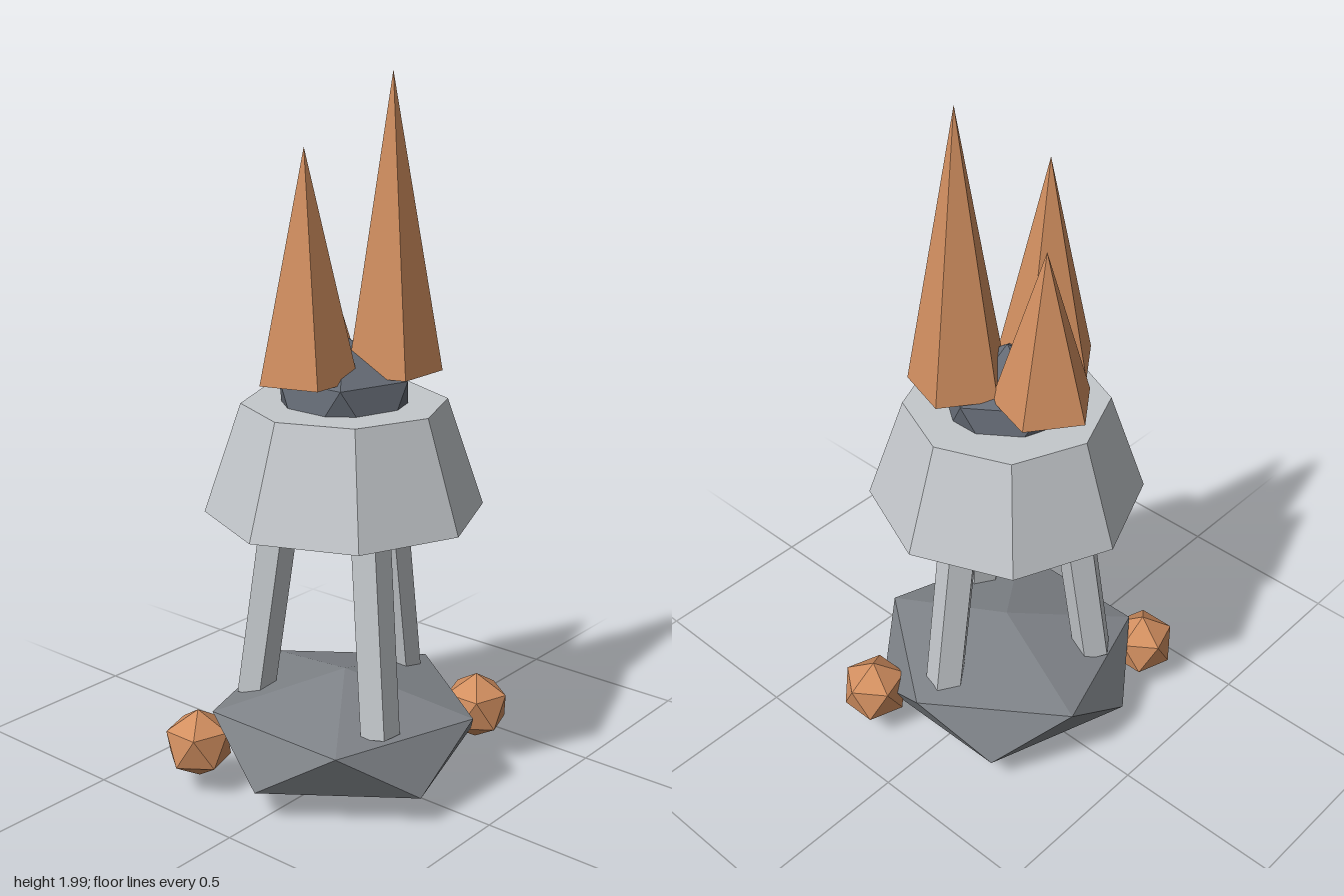
import * as THREE from 'three';

const mat = (name, color) => new THREE.MeshStandardMaterial({ name, color, flatShading: true });

// Twenty-sided ball standing on one corner, radius 1
function crystalBall() {
  const v = [0, 1, 0], f = [], h = Math.sqrt(0.2), r = 2 * h;
  for (const [y, offset] of [[h, 0], [-h, 0.5]]) {
    for (let i = 0; i < 5; i++) {
      const a = (i + offset) * Math.PI * 0.4;
      v.push(r * Math.cos(a), y, r * Math.sin(a));
    }
  }
  v.push(0, -1, 0);
  for (let i = 0; i < 5; i++) {
    const j = (i + 1) % 5, u0 = 1 + i, u1 = 1 + j, l0 = 6 + i, l1 = 6 + j;
    f.push(0, u1, u0, u0, u1, l0, l0, u1, l1, 11, l0, l1);
  }
  return new THREE.PolyhedronGeometry(v, f, 1, 0);
}

export function createModel() {
  const group = new THREE.Group();
  const paleStone = mat('paleStone', 0xc4c8cc);
  const baseStone = mat('baseStone', 0x7e8287);
  const coreStone = mat('coreStone', 0x656b75);
  const copper = mat('copper', 0xd28f60);
  const cx = -0.014;

  const add = (name, geometry, material, x, y, z) => {
    const mesh = new THREE.Mesh(geometry, material);
    mesh.name = name;
    mesh.position.set(x, y, z);
    group.add(mesh);
    return mesh;
  };

  // Squashed rock base and the core held in the collar
  add('baseRock', crystalBall().scale(0.43, 0.163, 0.43), baseStone, cx, 0.172, 0);
  add('coreRock', crystalBall().scale(0.202, 0.202, 0.202), coreStone, cx, 1.105, 0);

  // Small copper nuggets beside the base
  for (const [x, z] of [[-0.349, -0.26], [0.349, 0.205]]) {
    add('nugget', crystalBall().scale(0.102, 0.102, 0.102), copper, x, 0.148, z);
  }

  // Three five-sided legs leaning inwards
  const up = new THREE.Vector3(0, 1, 0);
  for (let i = 0; i < 3; i++) {
    const a = (i * Math.PI * 2) / 3;
    const at = (r, y) => new THREE.Vector3(cx + r * Math.cos(a), y, r * Math.sin(a));
    const foot = at(0.264, 0.25), head = at(0.184, 0.815);
    const dir = head.clone().sub(foot);
    const geo = new THREE.CylinderGeometry(0.058, 0.058, dir.length(), 5).rotateY(Math.PI);
    const mid = foot.clone().add(head).multiplyScalar(0.5);
    add('leg', geo, paleStone, mid.x, mid.y, mid.z)
      .quaternion.setFromUnitVectors(up, dir.normalize());
  }

  // Eight-sided tapered collar
  add('collar', new THREE.CylinderGeometry(0.283, 0.387, 0.305, 8), paleStone, cx, 0.9725, 0);

  // Copper spikes: x, z, tip height
  for (const [x, z, tip] of [[0.089, 0.078, 2], [-0.143, -0.028, 1.815], [0.012, -0.156, 1.66]]) {
    const h = tip - 1.205;
    add('spike', new THREE.ConeGeometry(0.14, h, 5).rotateY(Math.PI), copper, x, 1.205 + h / 2, z);
  }
  return group;
}
